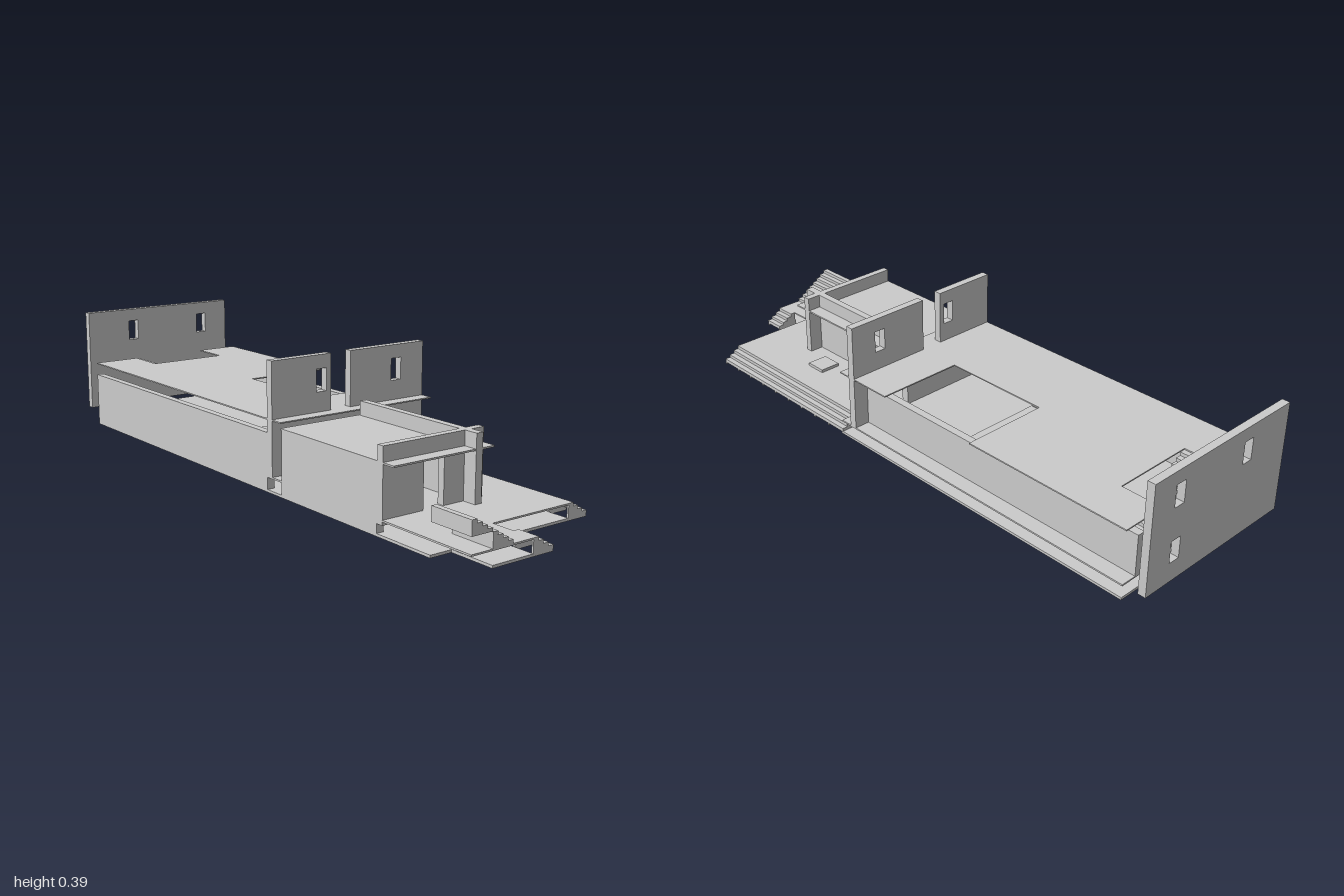
import * as THREE from 'three';

const material = new THREE.MeshStandardMaterial({ color: 0xcccccc, flatShading: true });

export function createModel() {
  const model = new THREE.Group();

  const add = (name, geometry) => {
    const mesh = new THREE.Mesh(geometry, material);
    mesh.name = name;
    model.add(mesh);
    return mesh;
  };
  const box = (name, x0, x1, y0, y1, z0, z1) =>
    add(name, new THREE.BoxGeometry(x1 - x0, y1 - y0, z1 - z0))
      .position.set((x0 + x1) / 2, (y0 + y1) / 2, (z0 + z1) / 2);
  const rect = (x0, x1, y0, y1) => [[x0, y0], [x1, y0], [x1, y1], [x0, y1]];
  const toPoints = (list) => list.map(([a, b]) => new THREE.Vector2(a, b));
  const extrude = (outline, holes, depth) => {
    const shape = new THREE.Shape(toPoints(outline));
    shape.holes = holes.map((h) => new THREE.Path(toPoints(h)));
    return new THREE.ExtrudeGeometry(shape, { depth, bevelEnabled: false });
  };
  // Upright panel drawn in x, y and spanning z0 to z1
  const panel = (name, outline, holes, z0, z1) =>
    add(name, extrude(outline, holes, z1 - z0)).position.z = z0;
  // Level plate drawn in x, z and spanning y0 to y1
  const plate = (name, outline, holes, y0, y1) => {
    const flip = (list) => list.map(([x, z]) => [x, -z]);
    const geometry = extrude(flip(outline), holes.map(flip), y1 - y0);
    add(name, geometry.rotateX(-Math.PI / 2)).position.y = y0;
  };

  const W = 0.286, T = 0.024, BACK = -0.925, FRONT = 0.855;

  // Ground plates
  const court = rect(-0.21, 0.21, -0.36, -0.14);
  plate('basePlate', [[-W, BACK], [W, BACK], [W, 0.21], [0.214, 0.21], [0.214, FRONT],
    [-0.073, FRONT], [-0.073, 1], [-0.214, 1], [-0.214, FRONT], [-W, FRONT]], [court], 0, 0.008);
  plate('floorPlate', [[-W, BACK], [W, BACK], [W, 0.21], [0.232, 0.21], [0.232, FRONT],
    [-0.073, FRONT], [-0.073, 1], [-W, 1]], [court], 0.045, 0.05);

  // Upper floor with the courtyard notch and the stair notch
  plate('upperFloor', [[-W, BACK], [-0.127, BACK], [-0.127, -0.79], [0.143, -0.79], [0.143, BACK],
    [W, BACK], [W, -0.36], [0, -0.36], [0, 0], [W, 0], [W, 0.21], [-W, 0.21]], [], 0.218, 0.222);

  // Long side walls
  box('leftSideWall', 0.21, 0.235, 0.05, 0.18, BACK, 0.143);
  box('rightSideWall', -W, -W + T, 0.008, 0.18, BACK, 0.143);

  // Tall cross walls with windows
  const windowA = rect(-0.127, -0.09, 0.283, 0.352);
  const windowB = rect(0.159, 0.197, 0.283, 0.352);
  const windowC = rect(0.159, 0.197, 0.112, 0.18);
  panel('backWall', rect(-W, W, 0.05, 0.394), [windowA, windowB, windowC], -1, -0.975);
  panel('frontWallUpperRight', rect(-W, -0.073, 0.222, 0.394), [windowA], 0.143, 0.168);
  panel('frontWallUpperLeft', rect(0, W, 0.222, 0.394), [windowB], 0.143, 0.168);
  panel('frontWallLowerLeft', rect(0.143, W, 0.05, 0.218), [windowC], 0.143, 0.168);
  panel('frontWallLowerRight', rect(-W, 0.07, 0.05, 0.218), [], 0.143, 0.168);

  // Front room: walls, crossing pier, roof and parapets
  box('roomRightWall', -W, -W + T, 0.008, 0.2, 0.215, 0.645);
  box('roomLeftWall', 0, T, 0.035, 0.249, 0.215, 0.713);
  box('roomFrontPanel', -W, -0.145, 0.035, 0.2, 0.645, 0.668);
  box('roomFrontPanel', -0.073, 0, 0.05, 0.2, 0.645, 0.668);
  box('pierArm', T, 0.07, 0.035, 0.249, 0.645, 0.668);
  box('roomParapet', -W, 0, 0.205, 0.249, 0.645, 0.668);
  box('roomRoof', -W, 0.07, 0.2, 0.205, 0.21, 0.711);

  // Low bench beside the room
  box('bench', 0.07, 0.14, 0.05, 0.06, 0.497, 0.568);

  // Open steps falling toward +x: thin stepped skin carried on full-profile fins
  const openStair = (name, x, z0, z1, fins) => {
    const steps = [[x, 0.05]];
    [0.05, 0.039, 0.028, 0.018].forEach((top, i) => {
      if (i) steps.push([x + i * 0.018, top]);
      steps.push([x + (i + 1) * 0.018, top]);
    });
    const end = x + 0.072;
    panel(name, [...steps, [end, 0.006], [x + 0.012, 0.04], [x, 0.04]].reverse(), [], z0, z1);
    const t = 0.006;
    for (let i = 0; i < fins; i++) {
      const z = z0 + (z1 - z0 - t) * i / (fins - 1);
      panel(name + 'Fin', [...steps, [end, 0], [x, 0]].reverse(), [], z, z + t);
    }
  };
  openStair('sideStair', 0.214, 0.21, FRONT, 10);
  openStair('entryStair', -0.073, 0.93, 1, 2);

  // Flight rising toward -x at the front, its upper half raised off the floor
  const rising = (x, y, count, run, rise) => {
    const list = [];
    for (let i = 0; i < count; i++) {
      list.push([x - i * run, y + (i + 1) * rise], [x - (i + 1) * run, y + (i + 1) * rise]);
    }
    return list;
  };
  panel('frontStair', [[-0.145, 0.05], ...rising(-0.145, 0.05, 8, 0.0176, 0.0109),
    [-W, 0.095], [-0.214, 0.095], [-0.214, 0.05]], [], FRONT, 1);

  // Flight to the upper floor at the back, with a sloping underside
  panel('backStair', [[0.143, 0.05], ...rising(0.143, 0.05, 15, 0.018, 0.0112),
    [-0.127, 0.2], [0.115, 0.05]], [], BACK, -0.79);

  return model;
}
